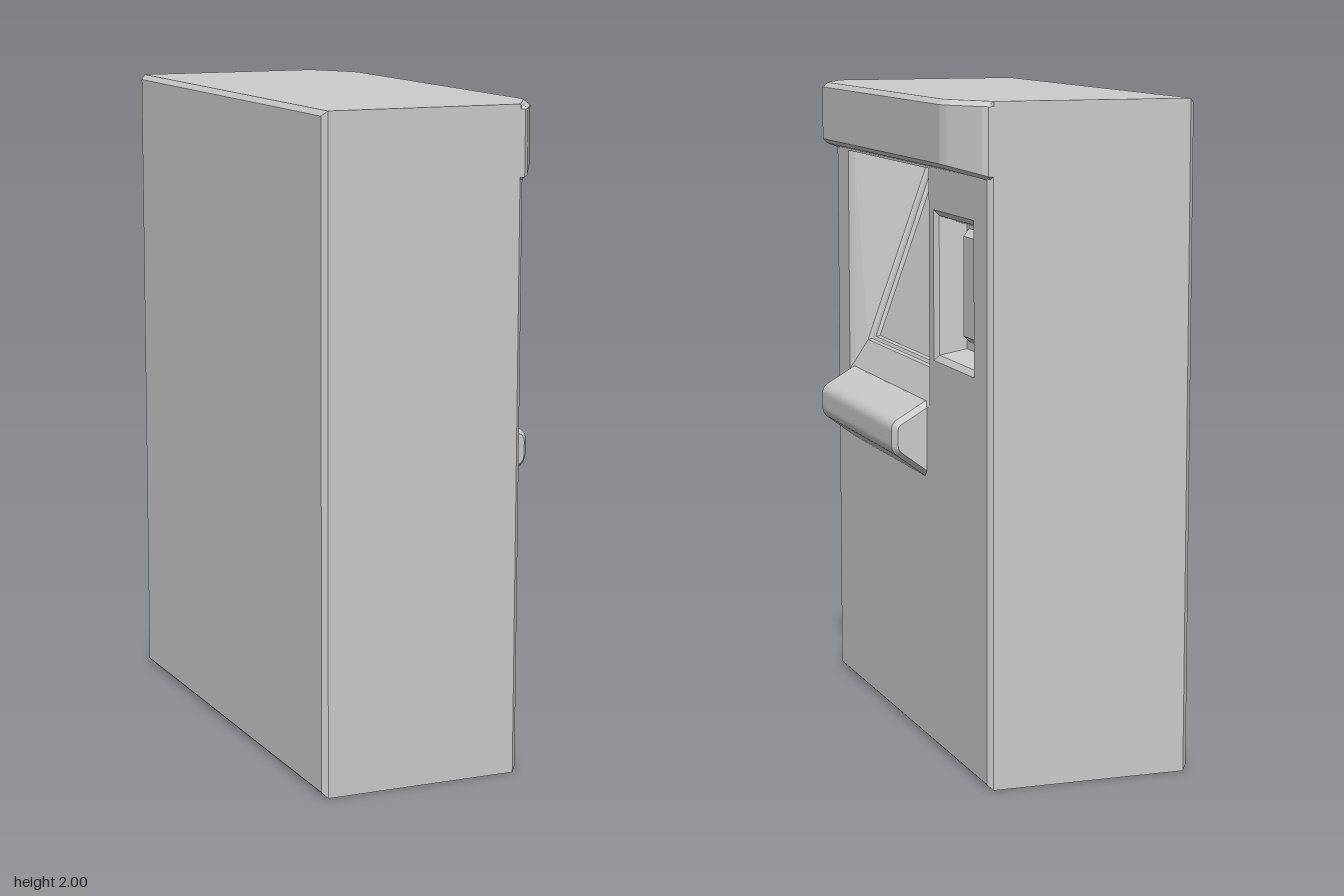
import * as THREE from 'three';

const material = new THREE.MeshStandardMaterial({ color: 0xcccccc });
const flatMaterial = new THREE.MeshStandardMaterial({ color: 0xcccccc, flatShading: true });

// Skins a series of closed rings of [x, y, z] points, optionally capping the ends.
function loft(name, rings, capStart, capEnd) {
  const pos = [];
  const tri = (...p) => p.forEach((v) => pos.push(...v));
  for (let k = 0; k < rings.length - 1; k++) {
    const a = rings[k], b = rings[k + 1], n = a.length;
    for (let i = 0; i < n; i++) {
      const j = (i + 1) % n;
      tri(a[i], a[j], b[j]);
      tri(a[i], b[j], b[i]);
    }
  }
  const first = rings[0], last = rings[rings.length - 1];
  for (let i = 1; i < first.length - 1; i++) {
    if (capStart) tri(first[0], first[i + 1], first[i]);
    if (capEnd) tri(last[0], last[i], last[i + 1]);
  }
  const geometry = new THREE.BufferGeometry();
  geometry.setAttribute('position', new THREE.Float32BufferAttribute(pos, 3));
  geometry.computeVertexNormals();
  const mesh = new THREE.Mesh(geometry, flatMaterial);
  mesh.name = name;
  return mesh;
}

// Rectangle facing +x: bottom edge at (xb, yb), top edge at (xt, yt).
const rect = (xb, yb, xt, yt, zMin, zMax) => [
  [xb, yb, zMax], [xb, yb, zMin], [xt, yt, zMin], [xt, yt, zMax],
];

const FRONT = 0.26, BACK = -0.37, HALF = 0.77, BEVEL = 0.015;
const alcove = { y0: 1.05, y1: 1.775, z0: -0.225, z1: 0.63 };
const niche = { y0: 1.2, y1: 1.655, z0: -0.64, z1: -0.27 };

function frontPanel() {
  // Drawn with -z to the right, then turned to face +x.
  const outline = (path, y0, y1, z0, z1) => {
    path.moveTo(-z1, y0);
    path.lineTo(-z0, y0);
    path.lineTo(-z0, y1);
    path.lineTo(-z1, y1);
    path.closePath();
    return path;
  };
  const shape = outline(new THREE.Shape(), BEVEL, 2 - BEVEL, BEVEL - HALF, HALF - BEVEL);
  for (const h of [alcove, niche]) {
    shape.holes.push(outline(new THREE.Path(), h.y0, h.y1, h.z0, h.z1));
  }
  const geometry = new THREE.ShapeGeometry(shape);
  geometry.rotateY(Math.PI / 2);
  geometry.translate(FRONT, 0, 0);
  const mesh = new THREE.Mesh(geometry, material);
  mesh.name = 'frontPanel';
  return mesh;
}

function hood() {
  // Half plan of the overhang, mirrored across z, at a given inset and height rule.
  const plan = [[0.24, 0.77], [0.26, 0.77], [0.275, 0.757], [0.342, 0.64], [0.352, 0.61]];
  const ring = (inset, height) => {
    const half = plan.map(([x, z], i) => [x - (i ? inset : 0), height(x), z - inset]);
    return [...half, ...half.map(([x, y, z]) => [x, y, -z]).reverse()];
  };
  const under = (x) => 1.775 + Math.max(0, x - 0.26) * 0.3;
  const root = ring(0, () => 1.775).map(([, y, z]) => [0.24, y, z]);
  return loft('hood', [
    root,
    ring(0.012, under),
    ring(0, (x) => under(x) + 0.014),
    ring(0, () => 2 - BEVEL),
    ring(BEVEL, () => 2),
  ], false, true);
}

function ledge() {
  // Side profile with rounded nose, extruded along z with chamfered ends.
  const shape = new THREE.Shape();
  shape.moveTo(0.2, 0.83);
  shape.lineTo(0.26, 0.83);
  shape.lineTo(0.345, 0.893);
  shape.quadraticCurveTo(0.368, 0.908, 0.368, 0.935);
  shape.lineTo(0.368, 0.975);
  shape.quadraticCurveTo(0.368, 1.0, 0.345, 1.012);
  shape.lineTo(0.26, 1.062);
  shape.lineTo(0.2, 1.062);
  shape.closePath();
  const bevel = 0.02;
  const geometry = new THREE.ExtrudeGeometry(shape, {
    depth: 0.81 - 2 * bevel, curveSegments: 6, bevelEnabled: true,
    bevelThickness: bevel, bevelSize: 0.015, bevelOffset: -0.015, bevelSegments: 1,
  });
  geometry.translate(0, 0, -0.2 + bevel);
  const mesh = new THREE.Mesh(geometry, material);
  mesh.name = 'ledge';
  return mesh;
}

export function createModel() {
  const group = new THREE.Group();
  const inner = HALF - BEVEL;

  // Cabinet shell, bevelled at back and front
  group.add(loft('cabinet', [
    rect(BACK, BEVEL, BACK, 2 - BEVEL, -inner, inner),
    rect(BACK + BEVEL, 0, BACK + BEVEL, 2, -HALF, HALF),
    rect(FRONT - BEVEL, 0, FRONT - BEVEL, 2, -HALF, HALF),
    rect(FRONT, BEVEL, FRONT, 2 - BEVEL, -inner, inner),
  ], true, false));
  group.add(frontPanel(), hood(), ledge());

  // Alcove walls, closing on the tilted screen
  group.add(loft('alcove', [
    rect(FRONT, alcove.y0, FRONT, alcove.y1, alcove.z0, alcove.z1),
    rect(0.245, 1.08, 0.245, 1.772, -0.205, 0.612),
    rect(0.21, 1.15, 0, 1.735, -0.175, 0.585),
  ]));

  // Screen frame and sunken glass
  group.add(loft('screen', [
    rect(0.21, 1.15, 0, 1.735, -0.175, 0.585),
    rect(0.2, 1.155, 0.0, 1.715, -0.16, 0.57),
    rect(0.195, 1.165, 0.01, 1.685, -0.135, 0.545),
    rect(0.182, 1.168, -0.003, 1.68, -0.13, 0.54),
  ], false, true));

  // Side niche with a raised panel on its back wall
  group.add(loft('niche', [
    rect(FRONT, niche.y0, FRONT, niche.y1, niche.z0, niche.z1),
    rect(0.247, 1.217, 0.247, 1.638, -0.625, -0.285),
    rect(0.165, 1.235, 0.165, 1.61, -0.615, -0.3),
  ], false, true));
  group.add(loft('nichePanel', [
    rect(0.165, 1.26, 0.165, 1.6, -0.6, -0.32),
    rect(0.19, 1.28, 0.19, 1.58, -0.578, -0.342),
  ], false, true));

  return group;
}
